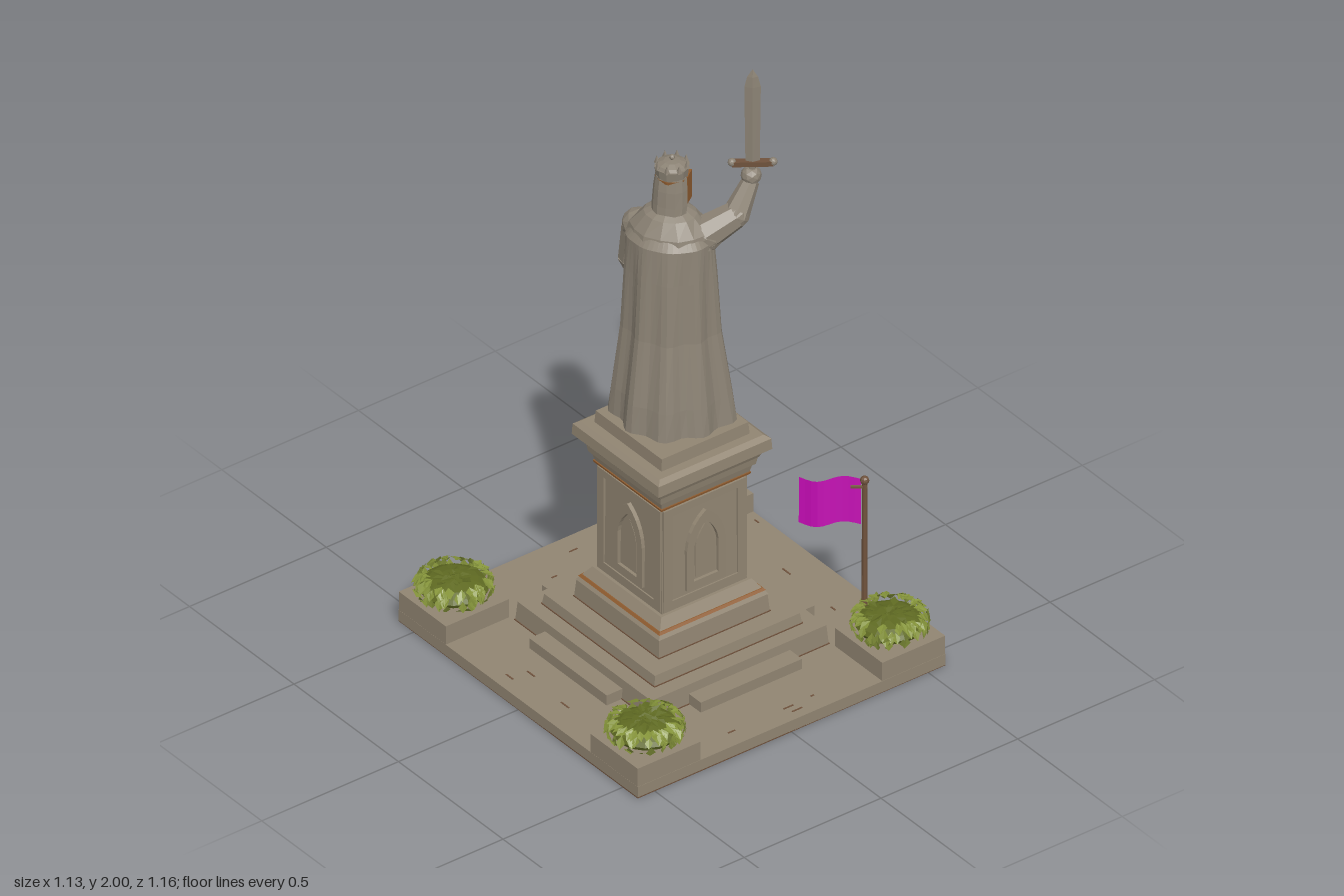
import * as THREE from 'three';
import { mergeGeometries } from 'three/addons/utils/BufferGeometryUtils.js';

const mat = (name, color, side = THREE.FrontSide) =>
  new THREE.MeshStandardMaterial({ name, color, side, flatShading: true });
const V = (x, y, z) => new THREE.Vector3(x, y, z);

export function createModel() {
  const stone = mat('stone', 0x918572), statueStone = mat('statue stone', 0x8b8274, THREE.DoubleSide);
  const brown = mat('earth brown', 0x6f523c), copper = mat('copper', 0x8f5c30);
  const magenta = mat('flag magenta', 0xbb0aac, THREE.DoubleSide);
  const leafLight = mat('leaf green', 0x85943a, THREE.DoubleSide), leafDark = mat('dark leaf green', 0x5f6a22, THREE.DoubleSide);

  let seed = 7;
  const rnd = (a = 0, b = 1) => {
    seed = (seed * 16807) % 2147483647;
    return a + (b - a) * seed / 2147483647;
  };
  const model = new THREE.Group();
  const group = (name, parent = model) => {
    const g = new THREE.Group();
    g.name = name;
    parent.add(g);
    return g;
  };
  const add = (parent, name, geo, m, x = 0, y = 0, z = 0) => {
    const mesh = new THREE.Mesh(geo, m);
    mesh.name = name;
    mesh.position.set(x, y, z);
    parent.add(mesh);
    return mesh;
  };
  const box = (p, name, w, h, d, x, y, z, m) => add(p, name, new THREE.BoxGeometry(w, h, d), m, x, y, z);
  const lump = (p, name, r, x, y, z, sy = 1) => add(p, name, new THREE.IcosahedronGeometry(r, 1).scale(1, sy, 1), statueStone, x, y, z);
  // square block, half-width a at y0 and b at y1
  const block = (p, name, a, b, y0, y1, m = stone) => add(p, name,
    new THREE.CylinderGeometry(b * Math.SQRT2, a * Math.SQRT2, y1 - y0, 4).rotateY(Math.PI / 4), m, 0, (y0 + y1) / 2, 0);
  // tapered limb between two points
  const limb = (p, name, a, b, ra, rb, m = statueStone, n = 8) => {
    const d = b.clone().sub(a), mid = a.clone().add(b).multiplyScalar(0.5);
    const mesh = add(p, name, new THREE.CylinderGeometry(rb, ra, d.length(), n), m, mid.x, mid.y, mid.z);
    mesh.quaternion.setFromUnitVectors(V(0, 1, 0), d.normalize());
  };
  // body from elliptical sections [y, cx, cz, rx, rz], with optional folds
  const loft = (rings, n, fold = () => 1, from = 0, to = Math.PI * 2, capped = true) => {
    const pos = [], idx = [], row = n + 1;
    rings.forEach(([y, cx, cz, rx, rz], j) => {
      for (let i = 0; i <= n; i++) {
        const a = from + (to - from) * i / n, f = fold(i, j);
        pos.push(cx + Math.cos(a) * rx * f, y, cz + Math.sin(a) * rz * f);
      }
    });
    const last = rings.length - 1, c = rings.length * row;
    for (let j = 0; j < last; j++) for (let i = 0; i < n; i++) {
      const p = j * row + i;
      idx.push(p, p + row, p + 1, p + 1, p + row, p + row + 1);
    }
    if (capped) {
      for (const r of [rings[0], rings[last]]) pos.push(r[1], r[0], r[2]);
      for (let i = 0; i < n; i++) idx.push(c, i, i + 1, c + 1, last * row + i + 1, last * row + i);
    }
    const g = new THREE.BufferGeometry();
    g.setAttribute('position', new THREE.Float32BufferAttribute(pos.map((v, k) => k % 3 === 1 ? rings[Math.min(last, Math.floor(k / 3 / row))] && v : v), 3));
    g.setIndex(idx);
    g.computeVertexNormals();
    return g;
  };

  // paved base with steps
  const base = group('base');
  box(base, 'slab', 1.125, 0.038, 1.145, 0, 0.021, 0, stone);
  box(base, 'underside', 1.125, 0.004, 1.145, 0, 0.002, 0, brown);
  for (const [w, d] of [[0.76, 0.37], [0.37, 0.76]]) box(base, 'lowStep', w, 0.035, d, 0, 0.0575, 0, stone);
  [[0.325, 0.04, 0.105], [0.27, 0.105, 0.14], [0.203, 0.14, 0.2]].forEach(([r, y0, y1]) => {
    block(base, 'step', r, r - 0.005, y0, y1);
    block(base, 'stepJoint', r + 0.002, r + 0.002, y0, y0 + 0.003, brown);
  });
  for (let i = 0; i < 14; i++) { // short cracks in the paving
    const onX = i % 2 === 0, s = i % 4 < 2 ? 1 : -1;
    const t = rnd(-0.3, 0.3), r = s * rnd(0.41, 0.55), l = rnd(0.01, 0.04);
    box(base, 'crack', onX ? 0.005 : l, 0.002, onX ? l : 0.005, onX ? r : t, 0.0405, onX ? t : r, brown);
  }

  // pedestal
  const ped = group('pedestal');
  block(ped, 'footMoulding', 0.2, 0.165, 0.2, 0.25);
  block(ped, 'shaft', 0.155, 0.15, 0.25, 0.62);
  block(ped, 'lowerTrim', 0.195, 0.189, 0.213, 0.22, copper);
  block(ped, 'upperTrim', 0.163, 0.164, 0.619, 0.626, copper);
  block(ped, 'neckMoulding', 0.16, 0.168, 0.626, 0.655);
  block(ped, 'corniceBand', 0.174, 0.178, 0.655, 0.68);
  block(ped, 'corniceFlare', 0.18, 0.194, 0.68, 0.712);
  block(ped, 'cornice', 0.208, 0.206, 0.712, 0.748);
  block(ped, 'corniceTop', 0.206, 0.19, 0.748, 0.76);
  block(ped, 'plinth', 0.161, 0.158, 0.76, 0.8);
  // pointed arch outline
  const arch = (w, y0, y1, top, path = new THREE.Shape()) => {
    path.moveTo(-w, y0);
    path.lineTo(w, y0);
    path.lineTo(w, y1);
    path.quadraticCurveTo(w * 0.9, top - 0.04, 0, top);
    path.quadraticCurveTo(-w * 0.9, top - 0.04, -w, y1);
    path.lineTo(-w, y0);
    return path;
  };
  const extrude = (s, depth) => new THREE.ExtrudeGeometry(s, { depth, bevelEnabled: false, curveSegments: 5 });
  const points = list => list.map(p => new THREE.Vector2(...p));
  for (let k = 0; k < 4; k++) {
    const face = group('shaftFace', ped);
    face.rotation.y = k * Math.PI / 2;
    // raised border of the panel
    const frame = new THREE.Shape(points([[-0.15, 0.255], [0.15, 0.255], [0.15, 0.61], [-0.15, 0.61]]));
    frame.holes.push(new THREE.Path(points([[-0.12, 0.285], [-0.12, 0.585], [0.12, 0.585], [0.12, 0.285]])));
    add(face, 'panelFrame', extrude(frame, 0.012), stone, 0, 0, 0.147);
    if (k === 0 || k === 3) { // arched niche
      const rim = arch(0.07, 0.3, 0.44, 0.56);
      rim.holes.push(arch(0.045, 0.325, 0.44, 0.525, new THREE.Path()));
      add(face, 'archRim', extrude(rim, 0.014), stone, 0, 0, 0.15);
      add(face, 'archPanel', extrude(arch(0.034, 0.335, 0.44, 0.51), 0.006), stone, 0, 0, 0.152);
    } else {
      box(face, 'panelTrim', 0.2, 0.006, 0.004, -0.03, 0.283, 0.159, copper);
      for (let i = 0; i < 5; i++) box(face, 'panelCrack', 0.003, rnd(0.02, 0.06), 0.004, rnd(-0.1, 0.1), rnd(0.35, 0.54), 0.154, brown).rotation.z = rnd(-0.4, 0.4);
    }
  }

  // planters with leafy bushes
  const leafGeo = s => {
    const g = new THREE.BufferGeometry();
    g.setAttribute('position', new THREE.Float32BufferAttribute([0, 0, -s, s * 0.65, s * 0.15, 0, 0, 0, s, -s * 0.65, s * 0.15, 0], 3));
    g.setIndex([0, 2, 1, 0, 3, 2]);
    g.computeVertexNormals();
    return g;
  };
  for (const sx of [-1, 1]) for (const sz of [-1, 1]) {
    const p = group('planter');
    p.position.set(sx * 0.447, 0, sz * 0.459);
    box(p, 'planterBlock', 0.23, 0.064, 0.225, 0, 0.072, 0, stone);
    add(p, 'bushCore', new THREE.SphereGeometry(0.104, 14, 8).scale(1, 0.34, 1), leafDark, 0, 0.138, 0);
    const leaves = [[], []];
    for (let i = 0; i < 135; i++) {
      const top = i >= 110, a = i * 2.4 + rnd(-0.2, 0.2), e = top ? Math.PI / 2 : rnd(-0.7, 1.5);
      const r = top ? rnd(0, 0.065) : 0.084 + 0.028 * Math.cos(e);
      const g = leafGeo(rnd(0.017, 0.024));
      g.rotateZ(rnd(-0.3, 0.3)).rotateX(Math.PI / 2 - e + rnd(-0.35, 0.35)).rotateY(a + rnd(-0.3, 0.3));
      g.translate(Math.sin(a) * r, top ? rnd(0.172, 0.178) : 0.142 + 0.033 * Math.sin(e), Math.cos(a) * r);
      leaves[top ? 1 : 0].push(g);
    }
    add(p, 'rimLeaves', mergeGeometries(leaves[0]), leafLight);
    add(p, 'topLeaves', mergeGeometries(leaves[1]), leafDark);
  }

  // flag on its pole
  const flag = group('flag');
  limb(flag, 'pole', V(0.433, 0.1, 0.355), V(0.433, 0.585, 0.355), 0.009, 0.008, brown);
  add(flag, 'poleKnob', new THREE.SphereGeometry(0.014, 8, 6), brown, 0.433, 0.588, 0.355);
  limb(flag, 'crossbar', V(0.44, 0.565, 0.36), V(0.4, 0.565, 0.33), 0.006, 0.006, brown, 6);
  const sheet = new THREE.PlaneGeometry(1, 0.145, 10, 3), sp = sheet.attributes.position;
  for (let i = 0; i < sp.count; i++) {
    const t = sp.getX(i) + 0.5, y = sp.getY(i), w = 0.012 * Math.sin(t * 7.5) * t + y * 0.15;
    sp.setXYZ(i, 0.425 - 0.142 * t + w * 0.62, 0.512 + y + 0.008 * Math.sin(t * 6), 0.348 - 0.112 * t - w * 0.78);
  }
  add(flag, 'flagCloth', sheet, magenta);

  // statue body, turned between +x and -z
  const statue = group('statue');
  const body = group('body', statue);
  body.rotation.y = 0.6;
  for (const s of [-1, 1]) {
    const leg = group('leg', body), x = s > 0 ? 0.012 : 0.02, z = s * 0.073;
    leg.position.set(x, 0, z);
    leg.rotation.y = s > 0 ? -0.55 : 0.1;
    add(leg, 'boot', loft([[0.8, 0.035, 0, 0.072, 0.032], [0.825, 0.028, 0, 0.062, 0.03], [0.85, 0, 0, 0.036, 0.028],
      [0.94, -0.005, 0, 0.037, 0.036], [0.99, 0, 0, 0.04, 0.038], [1.0, 0, 0, 0.034, 0.033]], 9), statueStone);
    lump(leg, 'knee', 0.036, 0.008, 1.01, 0);
    limb(body, 'thigh', V(x, 1.0, z), V(0.01, 1.2, z * 0.75), 0.036, 0.055);
  }
  add(body, 'tunicSkirt', loft([[1.065, 0.005, 0.002, 0.088, 0.112], [1.15, 0.005, 0, 0.083, 0.1], [1.29, 0.005, 0, 0.072, 0.08]], 20,
    (i, j) => 1 + (i % 2 ? -0.04 : 0.03) * (j < 2 ? 1 : 0)), statueStone);
  add(body, 'belt', loft([[1.283, 0.005, 0, 0.079, 0.086], [1.313, 0.005, 0, 0.079, 0.086]], 10, () => 1, -0.95, 0.95, false), copper);
  box(body, 'buckle', 0.01, 0.044, 0.036, 0.085, 1.298, 0, copper);
  add(body, 'torso', loft([[1.285, 0.005, 0, 0.073, 0.078], [1.4, 0.008, 0, 0.09, 0.1], [1.47, 0, 0, 0.084, 0.112],
    [1.515, -0.01, 0, 0.062, 0.085], [1.55, 0, 0, 0.035, 0.04]], 12), statueStone);
  add(body, 'collar', loft([[1.44, -0.018, 0, 0.107, 0.136], [1.49, -0.018, 0, 0.094, 0.122], [1.535, -0.015, 0, 0.066, 0.08], [1.55, -0.01, 0, 0.045, 0.05]], 14,
    (i, j) => 1 + (i % 2 && j < 2 ? -0.04 : 0)), statueStone);
  // cape hanging round the back with uneven folds
  const foldDepth = [0.06, 0.055, 0.05, 0.035, 0.01, 0];
  add(body, 'cape', loft([[0.85, -0.015, 0.01, 0.183, 0.182], [0.94, -0.017, 0.008, 0.17, 0.172], [1.15, -0.02, 0.004, 0.132, 0.145],
    [1.35, -0.02, 0.002, 0.116, 0.136], [1.46, -0.02, 0, 0.106, 0.132], [1.52, -0.015, 0, 0.07, 0.09]], 28,
  (i, j) => 1 + foldDepth[j] * (Math.sin(i * 1.15 + j * 0.25) + 0.5 * Math.sin(i * 0.5 + 1)), 1.5, 4.85, false), statueStone);

  // head, beard, hair and crown
  add(body, 'neck', new THREE.CylinderGeometry(0.032, 0.036, 0.06, 8), statueStone, 0, 1.55, 0);
  add(body, 'head', loft([[1.555, 0.015, 0, 0.025, 0.025], [1.585, 0.01, 0, 0.042, 0.037], [1.63, 0.006, 0, 0.046, 0.042], [1.67, 0, 0, 0.044, 0.042]], 10), statueStone);
  add(body, 'hair', loft([[1.52, -0.035, 0, 0.03, 0.05], [1.57, -0.022, 0, 0.036, 0.052], [1.62, -0.015, 0, 0.038, 0.05], [1.66, -0.01, 0, 0.036, 0.046]], 12,
    i => 1 + (i % 2) * 0.05), statueStone);
  add(body, 'beard', loft([[1.525, 0.05, 0, 0.008, 0.01], [1.555, 0.04, 0, 0.024, 0.028], [1.59, 0.03, 0, 0.028, 0.036]], 8), statueStone);
  add(body, 'nose', new THREE.ConeGeometry(0.01, 0.03, 4), statueStone, 0.053, 1.618, 0);
  box(body, 'sideLock', 0.044, 0.095, 0.009, 0.02, 1.607, 0.043, copper);
  box(body, 'sideLock', 0.02, 0.05, 0.008, 0.026, 1.605, -0.04, copper);
  add(body, 'crownBand', new THREE.CylinderGeometry(0.05, 0.049, 0.01, 12), copper, 0, 1.652, 0);
  add(body, 'crown', new THREE.CylinderGeometry(0.052, 0.048, 0.032, 12), statueStone, 0, 1.672, 0);
  add(body, 'crownCap', new THREE.SphereGeometry(0.049, 10, 6).scale(1, 0.42, 1), statueStone, 0, 1.686, 0);
  add(body, 'crownKnob', new THREE.SphereGeometry(0.009, 6, 5), statueStone, 0, 1.715, 0);
  for (let i = 0; i < 8; i++) {
    const a = i * Math.PI / 4;
    add(body, 'crownPoint', new THREE.ConeGeometry(0.01, 0.026, 4), statueStone, Math.cos(a) * 0.046, 1.698, Math.sin(a) * 0.046);
  }

  // lowered arm
  lump(body, 'loweredShoulder', 0.05, 0.005, 1.455, -0.105);
  limb(body, 'loweredUpperArm', V(0.005, 1.45, -0.11), V(0.02, 1.32, -0.135), 0.045, 0.036);
  limb(body, 'loweredForearm', V(0.02, 1.33, -0.135), V(0.075, 1.225, -0.13), 0.038, 0.028);
  lump(body, 'loweredHand', 0.027, 0.082, 1.2, -0.128, 1.25);
  // raised arm
  lump(statue, 'raisedShoulder', 0.054, 0.055, 1.465, 0.085);
  limb(statue, 'raisedUpperArm', V(0.055, 1.47, 0.085), V(0.14, 1.52, 0.122), 0.054, 0.042);
  lump(statue, 'raisedElbow', 0.041, 0.14, 1.52, 0.122);
  limb(statue, 'raisedForearm', V(0.14, 1.52, 0.122), V(0.202, 1.61, 0.113), 0.041, 0.026);
  lump(statue, 'raisedHand', 0.031, 0.204, 1.628, 0.112);

  // sword
  const sword = group('sword', statue);
  sword.position.set(0.206, 0, 0.116);
  sword.rotation.y = -0.62;
  limb(sword, 'grip', V(-0.01, 1.55, 0), V(0, 1.67, 0), 0.011, 0.011);
  lump(sword, 'pommel', 0.017, -0.011, 1.545, 0);
  box(sword, 'guard', 0.12, 0.016, 0.022, 0, 1.672, 0, brown);
  for (const s of [-1, 1]) lump(sword, 'guardEnd', 0.013, s * 0.06, 1.675, 0);
  add(sword, 'blade', loft([[1.675, 0, 0, 0.021, 0.008], [1.94, 0, 0, 0.024, 0.008], [1.975, 0, 0, 0.016, 0.006], [2.0, 0, 0, 0.001, 0.001]], 4), statueStone);
  return model;
}
